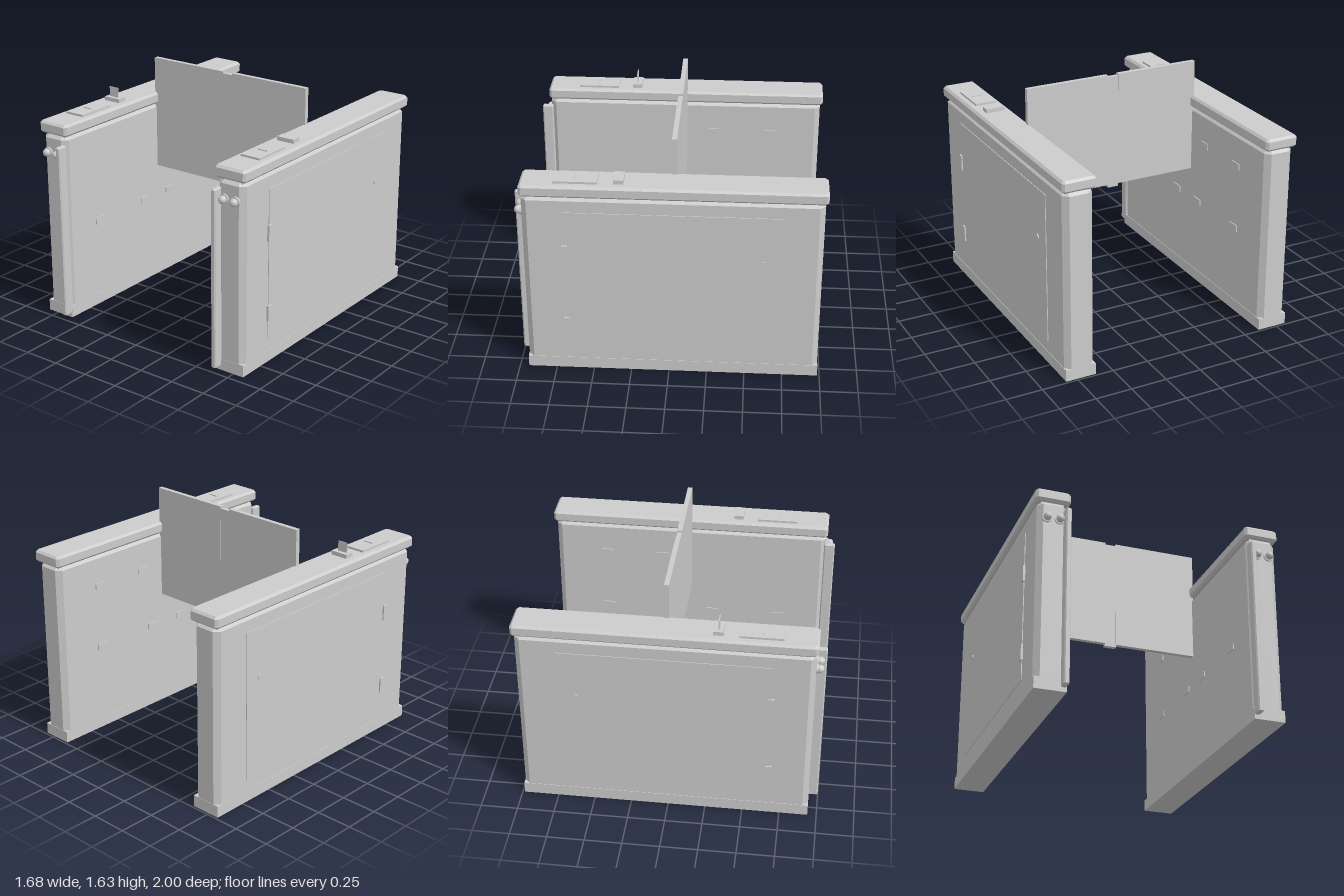
import * as THREE from 'three';

const steel = new THREE.MeshStandardMaterial({ color: 0xcccccc });
steel.name = 'light grey metal';

function add(parent, name, geometry, x = 0, y = 0, z = 0) {
  const mesh = new THREE.Mesh(geometry, steel);
  mesh.name = name;
  mesh.position.set(x, y, z);
  parent.add(mesh);
  return mesh;
}

// box given by its limits on each axis
function box(parent, name, [x0, x1], [y0, y1], [z0, z1]) {
  return add(parent, name, new THREE.BoxGeometry(x1 - x0, y1 - y0, z1 - z0),
    (x0 + x1) / 2, (y0 + y1) / 2, (z0 + z1) / 2);
}

// upright slab with cut corners and bevelled top and bottom edges
function slab(parent, name, [x0, x1], [y0, y1], [z0, z1], cut, bevel) {
  const w = (x1 - x0) / 2 - bevel, d = (z1 - z0) / 2 - bevel;
  const shape = new THREE.Shape([
    [w, d - cut], [w - cut, d], [cut - w, d], [-w, d - cut],
    [-w, cut - d], [cut - w, -d], [w - cut, -d], [w, cut - d],
  ].map(([a, b]) => new THREE.Vector2(a, b)));
  const geometry = new THREE.ExtrudeGeometry(shape, {
    depth: y1 - y0 - 2 * bevel, bevelEnabled: true,
    bevelThickness: bevel, bevelSize: bevel, bevelSegments: 1,
  });
  geometry.rotateX(-Math.PI / 2);
  return add(parent, name, geometry, (x0 + x1) / 2, y0 + bevel, (z0 + z1) / 2);
}

// one cabinet; s = 1 for the left, -1 for the right
function cabinet(s) {
  const g = new THREE.Group();
  g.name = s > 0 ? 'leftCabinet' : 'rightCabinet';
  const mx = (a, b) => (s > 0 ? [a, b] : [-b, -a]);

  box(g, 'plinth', mx(0.617, 0.827), [0, 0.08], [-0.985, 0.94]);
  slab(g, 'body', mx(0.62, 0.824), [0.04, 1.29], [-0.983, 0.938], 0.024, 0.02);
  box(g, 'neck', mx(0.645, 0.80), [1.28, 1.31], [-0.96, 0.915]);
  slab(g, 'lid', mx(0.605, 0.84), [1.298, 1.38], [-1, 0.947], 0.008, 0.015);

  // service door with hinges and a round lock
  box(g, 'door', mx(0.815, 0.829), [0.16, 1.19], [-0.72, 0.672]);
  for (const y of [0.345, 0.895]) {
    box(g, 'hinge', mx(0.82, 0.839), [y - 0.055, y + 0.055], [0.648, 0.686]);
  }
  const lock = add(g, 'lock', new THREE.CylinderGeometry(0.02, 0.02, 0.016, 24), s * 0.828, 0.855, -0.6);
  lock.rotation.z = Math.PI / 2;

  // passage sensors on the inner face
  const sensors = [[0.62, 0.62], [0.14, 0.62], [-0.14, 0.62], [-0.62, 0.62], [-0.22, 1.07], [-0.62, 1.07]];
  for (const [z, y] of sensors) {
    box(g, 'sensor', mx(0.613, 0.625), [y - 0.022, y + 0.022], [z - 0.045, z + 0.045]);
  }

  // front guard strip and signal lamps
  slab(g, 'guardStrip', mx(0.618, 0.655), [0.03, 1.24], [0.925, 1], 0.004, 0.007);
  for (const x of [0.682, 0.766]) {
    const ring = add(g, 'lampRing', new THREE.CylinderGeometry(0.033, 0.033, 0.014, 24), s * x, 1.172, 0.943);
    ring.rotation.x = Math.PI / 2;
    add(g, 'lamp', new THREE.SphereGeometry(0.027, 24, 16), s * x, 1.172, 0.96);
  }

  // fittings on the lid
  box(g, 'readerPad', mx(0.647, 0.792), [1.37, 1.394], [0.45, 0.73]);
  box(g, 'padMark', mx(0.685, 0.755), [1.39, 1.4], [0.594, 0.602]);
  box(g, 'cardSlot', mx(0.657, 0.783), [1.37, 1.407], [0.285, 0.35]);
  if (s < 0) box(g, 'card', mx(0.688, 0.761), [1.4, 1.475], [0.316, 0.322]);

  // gate wing with its top rail
  const wing = mx(0.038, 0.63);
  box(g, 'gateWing', wing, [0.835, 1.59], [-0.042, -0.01]);
  box(g, 'gateRail', wing, [1.59, 1.628], [-0.042, -0.01]);
  return g;
}

export function createModel() {
  const model = new THREE.Group();
  model.name = 'turnstileGate';
  model.add(cabinet(1), cabinet(-1));
  // seal where the wings meet
  box(model, 'gateSeal', [-0.04, 0.04], [0.815, 1.615], [-0.041, -0.011]);
  return model;
}
